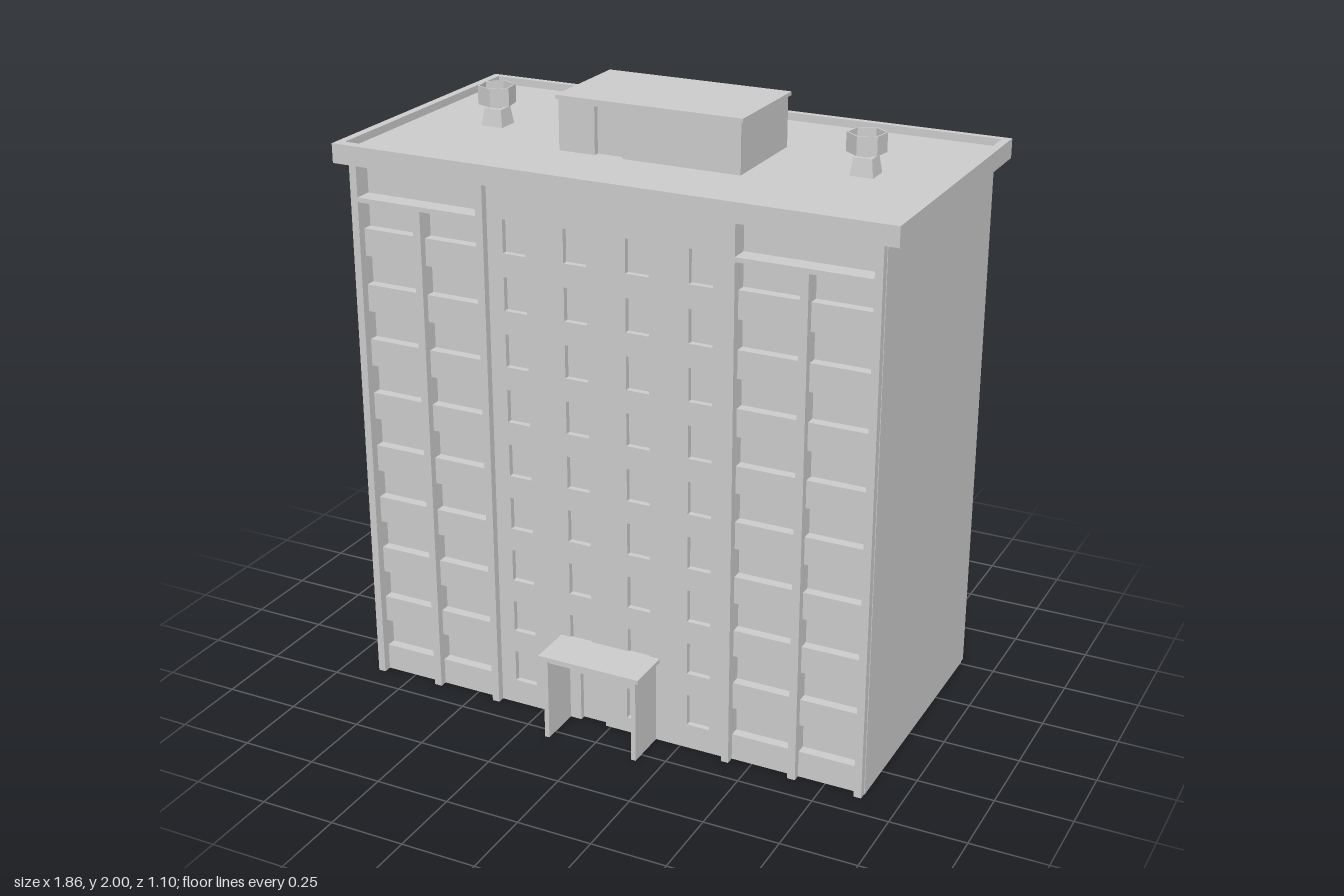
import * as THREE from 'three';

const mat = new THREE.MeshStandardMaterial({ color: 0xcccccc, flatShading: true });
const matBoth = new THREE.MeshStandardMaterial({ color: 0xcccccc, flatShading: true, side: THREE.DoubleSide });

const FLOORS = 9, STEP = 0.1855;
const BAY = 0.417, GLASS = 0.434, PANEL = 0.45, WALL = 0.453, FIN = 0.478; // half depths of the layers

function add(parent, name, geometry, material = mat) {
  const mesh = new THREE.Mesh(geometry, material);
  mesh.name = name;
  parent.add(mesh);
  return mesh;
}

// Box given by its limits
function box(parent, name, x0, x1, y0, y1, z0, z1) {
  const g = new THREE.BoxGeometry(x1 - x0, y1 - y0, z1 - z0);
  g.translate((x0 + x1) / 2, (y0 + y1) / 2, (z0 + z1) / 2);
  return add(parent, name, g);
}

function rectPath(x0, x1, y0, y1, Type = THREE.Path) {
  const p = new Type();
  p.moveTo(x0, y0);
  p.lineTo(x1, y0);
  p.lineTo(x1, y1);
  p.lineTo(x0, y1);
  p.closePath();
  return p;
}

// Wall outline with an optional door notch at its foot
function wallShape(x0, x1, y0, y1, door) {
  if (!door) return rectPath(x0, x1, y0, y1, THREE.Shape);
  const [a, b, top] = door;
  return new THREE.Shape([[x0, y0], [a, y0], [a, top], [b, top], [b, y0], [x1, y0], [x1, y1], [x0, y1]]
    .map(([x, y]) => new THREE.Vector2(x, y)));
}

function plate(parent, name, shape, z0, z1) {
  const g = new THREE.ExtrudeGeometry(shape, { depth: z1 - z0, bevelEnabled: false });
  g.translate(0, 0, z0);
  return add(parent, name, g);
}

// One long face: window wall in the middle, a balcony bay on either side
function facade(hasEntrance) {
  const g = new THREE.Group();
  g.name = hasEntrance ? 'frontFacade' : 'backFacade';
  const door = hasEntrance ? [-0.109, -0.018, 0.172] : null;
  const wall = wallShape(-0.41, 0.41, 0, 1.8, door);
  for (let f = 0; f < FLOORS; f++) {
    for (let c = 0; c < 4; c++) {
      if (hasEntrance && f === 0 && (c === 1 || c === 2)) continue;
      const x = -0.313 + c * 0.2085, y = 0.084 + f * STEP;
      wall.holes.push(rectPath(x - 0.039, x + 0.039, y, y + 0.109));
    }
  }
  if (hasEntrance) wall.holes.push(rectPath(0.06, 0.122, 0.052, 0.161));
  plate(g, 'windowWall', wall, GLASS, WALL);
  box(g, 'wallFoot', -0.41, 0.41, 0, 0.1, GLASS - 0.015, GLASS);

  for (const s of [-1, 1]) {
    const a = Math.min(s * 0.425, s * 0.86), b = Math.max(s * 0.425, s * 0.86);
    for (let f = 0; f < FLOORS; f++) {
      box(g, 'balconyPanel', a, b, f * STEP, f * STEP + 0.09, BAY - 0.01, PANEL);
    }
    box(g, 'bayLintel', a, b, 1.667, 1.682, BAY - 0.01, FIN);
  }
  return g;
}

// Rooftop vent: square foot, round stem and an open six-sided collar
function vent(x, turn) {
  const g = new THREE.Group();
  g.name = 'roofVent';
  g.position.set(x, 0, -0.065);
  const base = new THREE.CylinderGeometry(0.042, 0.054, 0.058, 4);
  base.rotateY(Math.PI / 4);
  add(g, 'ventBase', base).position.y = 1.852;
  add(g, 'ventStem', new THREE.CylinderGeometry(0.018, 0.018, 0.03, 8)).position.y = 1.89;
  const profile = [[0.056, 1.894], [0.061, 1.894], [0.061, 1.954], [0.056, 1.954], [0.056, 1.894]]
    .map(([r, y]) => new THREE.Vector2(r, y));
  add(g, 'ventCollar', new THREE.LatheGeometry(profile, 6), matBoth).rotation.y = turn;
  return g;
}

export function createModel() {
  const model = new THREE.Group();
  model.name = 'apartmentBlock';

  // Main block, centred slightly behind the origin because of the porch
  const block = new THREE.Group();
  block.name = 'block';
  block.position.z = -0.057;
  model.add(block);
  box(block, 'core', -0.865, 0.865, 0.09, 1.8, -BAY, BAY);
  box(block, 'windowBacking', -0.41, 0.41, 0.09, 1.8, -GLASS, GLASS);
  block.add(facade(true));
  const back = facade(false);
  back.rotation.y = Math.PI;
  block.add(back);

  // Cross walls running through the whole depth
  for (const s of [-1, 1]) {
    const fin = (name, c, w, top, depth) =>
      box(block, name, s * c - w / 2, s * c + w / 2, 0, top, -depth, depth);
    fin('endWall', 0.869, 0.026, 1.8, WALL);
    fin('cornerPier', 0.8675, 0.025, 1.8, FIN);
    fin('bayDivider', 0.645, 0.026, 1.67, FIN - 0.003);
    fin('innerWall', 0.418, 0.025, 1.8, FIN);
  }

  // Roof slab with a raised rim
  box(block, 'roofDeck', -0.91, 0.91, 1.788, 1.825, -0.475, 0.475);
  const rim = rectPath(-0.929, 0.929, -0.492, 0.492, THREE.Shape);
  rim.holes.push(rectPath(-0.902, 0.902, -0.459, 0.469));
  const rimGeo = new THREE.ExtrudeGeometry(rim, { depth: 0.063, bevelEnabled: false });
  rimGeo.rotateX(-Math.PI / 2);
  add(block, 'roofRim', rimGeo).position.y = 1.787;

  // Stair house on the roof
  const house = new THREE.Group();
  house.name = 'stairHouse';
  model.add(house);
  box(house, 'houseCore', -0.307, 0.307, 1.82, 1.99, -0.232, 0.095);
  plate(house, 'houseFront', wallShape(-0.307, 0.307, 1.82, 1.99, [-0.183, -0.088, 1.978]), 0.095, 0.115);
  box(house, 'houseRoof', -0.315, 0.315, 1.988, 2, -0.238, 0.121);

  model.add(vent(-0.633, 0.15), vent(0.633, -0.15));

  // Entrance porch
  const porch = new THREE.Group();
  porch.name = 'porch';
  model.add(porch);
  for (const s of [-1, 1]) {
    box(porch, 'porchWall', s * 0.156 - 0.008, s * 0.156 + 0.008, 0, 0.286, 0.39, 0.54);
  }
  box(porch, 'porchCeiling', -0.15, 0.15, 0.27, 0.286, 0.39, 0.533);
  box(porch, 'porchRoof', -0.177, 0.177, 0.284, 0.298, 0.39, 0.549);
  return model;
}
